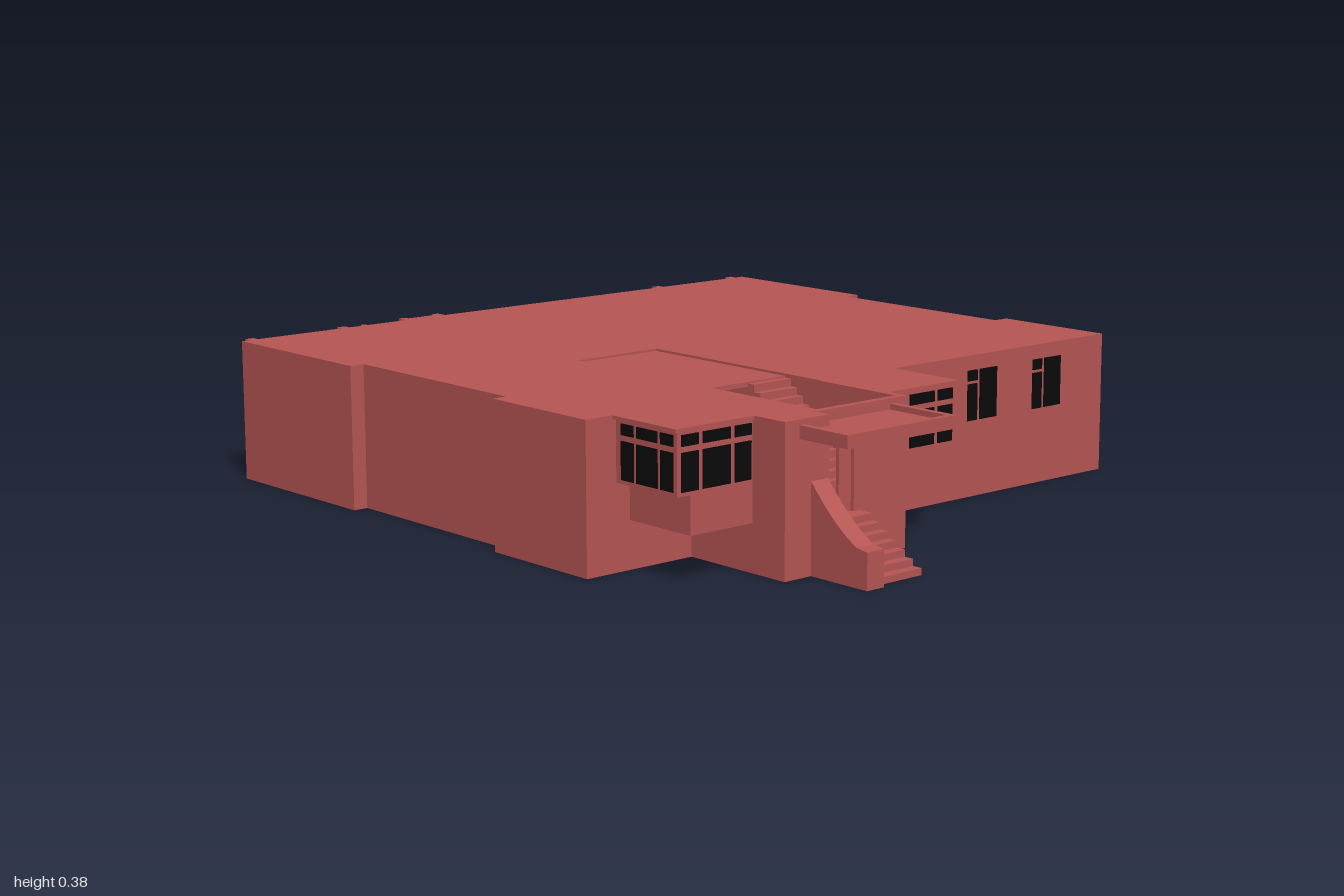
import * as THREE from 'three';

const brick = new THREE.MeshStandardMaterial({ color: 0xb55553, side: THREE.DoubleSide });
const glass = new THREE.MeshStandardMaterial({ color: 0x0a0a0a });
const H = 0.375, FLOOR = 0.12, T = 0.02;

export function createModel() {
  const root = new THREE.Group();

  const group = (name) => {
    const g = new THREE.Group();
    g.name = name;
    root.add(g);
    return g;
  };
  // Box given by its limits on each axis
  const box = (parent, name, x0, x1, y0, y1, z0, z1, mat = brick) => {
    const m = new THREE.Mesh(new THREE.BoxGeometry(x1 - x0, y1 - y0, z1 - z0), mat);
    m.position.set((x0 + x1) / 2, (y0 + y1) / 2, (z0 + z1) / 2);
    m.name = name;
    parent.add(m);
    return m;
  };
  // Horizontal slab from [x, z] outline with one rectangular hole
  const slab = (name, pts, y0, y1, [hx0, hx1, hz0, hz1]) => {
    const s = new THREE.Shape(pts.map(([x, z]) => new THREE.Vector2(x, -z)));
    s.holes.push(new THREE.Path([[hx0, hz0], [hx1, hz0], [hx1, hz1], [hx0, hz1]]
      .map(([x, z]) => new THREE.Vector2(x, -z))));
    const g = new THREE.ExtrudeGeometry(s, { depth: y1 - y0, bevelEnabled: false });
    g.rotateX(-Math.PI / 2).translate(0, y0, 0);
    const m = new THREE.Mesh(g, brick);
    m.name = name;
    root.add(m);
  };
  // Upright slice from [z, y] profile, spanning x0 to x1
  const slice = (parent, name, shape, x0, x1) => {
    const g = new THREE.ExtrudeGeometry(shape, { depth: x1 - x0, bevelEnabled: false, curveSegments: 10 });
    g.rotateY(-Math.PI / 2).translate(x1, 0, 0);
    const m = new THREE.Mesh(g, brick);
    m.name = name;
    parent.add(m);
  };

  // Footprint, with the entrance block projecting to the front
  const outline = [
    [-0.9, -0.965], [0.9, -0.965], [0.9, -0.455], [0.855, -0.455], [0.855, 0.14], [0.9, 0.14],
    [0.9, 0.49], [-0.14, 0.49], [-0.14, 0.77], [-0.44, 0.77], [-0.44, 0.815], [-0.58, 0.815],
    [-0.58, 0.49], [-0.9, 0.49], [-0.9, 0.14], [-0.86, 0.14], [-0.86, -0.455], [-0.9, -0.455],
  ];
  const walls = group('outerWalls');
  outline.forEach(([ax, az], i) => {
    if (i === 8) return; // doorway wall is built below
    const [bx, bz] = outline[(i + 1) % outline.length];
    const nx = -Math.sign(bz - az) * T, nz = Math.sign(bx - ax) * T;
    box(walls, 'wall', Math.min(ax, bx, ax + nx), Math.max(ax, bx, ax + nx), 0, H,
      Math.min(az, bz, az + nz), Math.max(az, bz, az + nz));
  });
  box(walls, 'doorwaySide', -0.305, -0.14, 0, H, 0.75, 0.77);
  box(walls, 'doorwaySill', -0.44, -0.305, 0, FLOOR, 0.75, 0.77);
  box(walls, 'doorwayLintel', -0.44, -0.305, 0.335, H, 0.75, 0.77);

  // Roof and raised floor, both open at the stairwell
  slab('roof', outline, H - 0.018, H, [-0.42, -0.155, -0.135, 0.75]);
  slab('floor', outline, FLOOR - 0.012, FLOOR, [-0.42, -0.155, -0.135, 0.36]);

  // Stairwell with flight up to the roof level
  const well = group('stairwell');
  box(well, 'leftWellWall', -0.155, -0.145, FLOOR - 0.012, H - 0.002, -0.135, 0.76);
  box(well, 'rightWellWall', -0.43, -0.42, FLOOR - 0.012, H - 0.002, -0.135, 0.76);
  box(well, 'backWellWall', -0.43, -0.145, FLOOR - 0.012, H - 0.002, -0.145, -0.135);
  box(well, 'recessedPanel', -0.42, -0.155, H - 0.018, H - 0.006, -0.135, 0.36);
  const n = 13, run = 0.29 / n, rise = (H - 0.01 - FLOOR) / n;
  const flight = new THREE.Shape();
  flight.moveTo(0.65, FLOOR);
  for (let i = 0; i < n; i++) {
    flight.lineTo(0.65 - i * run, FLOOR + (i + 1) * rise);
    flight.lineTo(0.65 - (i + 1) * run, FLOOR + (i + 1) * rise);
  }
  flight.lineTo(0.36, H - 0.04);
  flight.lineTo(0.62, FLOOR);
  slice(well, 'innerStairs', flight, -0.28, -0.156);

  // Entrance steps, curved side wall, door and canopy
  const entry = group('entrance');
  for (let i = 0; i < 7; i++)
    box(entry, 'step', -0.443, -0.3, i * FLOOR / 7, (i + 1) * FLOOR / 7, 0.77, 0.98 - i * 0.027);
  const side = new THREE.Shape();
  side.moveTo(0.8, 0);
  side.lineTo(1, 0);
  side.lineTo(1, 0.09);
  side.lineTo(0.965, 0.095);
  side.quadraticCurveTo(0.89, 0.135, 0.815, 0.225);
  side.lineTo(0.8, 0.225);
  slice(entry, 'stepSideWall', side, -0.497, -0.443);
  box(entry, 'doorPostRight', -0.44, -0.425, FLOOR, 0.335, 0.75, 0.775);
  box(entry, 'doorPostLeft', -0.32, -0.305, FLOOR, 0.335, 0.75, 0.775);
  box(entry, 'doorLeaf', -0.36, -0.32, FLOOR, 0.335, 0.755, 0.765);
  box(entry, 'canopySlab', -0.535, -0.18, 0.33, 0.348, 0.77, 0.97);
  box(entry, 'canopyFrontRim', -0.535, -0.18, 0.33, 0.362, 0.955, 0.972);
  box(entry, 'canopyRightRim', -0.535, -0.518, 0.33, 0.362, 0.77, 0.97);
  box(entry, 'canopyLeftRim', -0.197, -0.18, 0.33, 0.362, 0.77, 0.97);

  // Panes on a wall plane; rects are [u0, u1, y0, y1], u runs along the wall
  const E = 0.003;
  const panes = (name, axis, plane, rects) => {
    const g = group(name);
    for (const [u0, u1, y0, y1] of rects) {
      if (axis === 'z') box(g, 'pane', u0, u1, y0, y1, plane - E, plane + E, glass);
      else box(g, 'pane', plane - E, plane + E, y0, y1, u0, u1, glass);
    }
  };
  // Three lights wide with a row of small lights above
  const wide = (u0, u1) => {
    const w = u1 - u0, out = [];
    for (const [a, b] of [[0, 0.24], [0.3, 0.7], [0.76, 1]])
      for (const [y0, y1] of [[0.225, 0.317], [0.331, 0.358]]) out.push([u0 + a * w, u0 + b * w, y0, y1]);
    return out;
  };
  const columns = (u0, u1, count) => Array.from({ length: count }, (_, i) => {
    const w = (u1 - u0) / count;
    return [u0 + i * w + 0.004, u0 + (i + 1) * w - 0.004, 0.21, 0.345];
  });

  // Corner bays: glazed box, narrower base and thin cap
  const bay = (name, x0, x1, low0, low1, cap0, cap1, outer) => {
    const g = group(name);
    box(g, 'bayBody', x0, x1, 0.215, 0.368, 0.48, 0.705);
    box(g, 'bayBase', low0, low1, FLOOR, 0.215, 0.48, 0.705);
    box(g, 'bayCap', cap0, cap1, 0.366, H, 0.48, 0.712);
    panes(name + 'FrontWindow', 'z', 0.705, wide(x0 + 0.012, x1 - 0.005));
    panes(name + 'SideWindow', 'x', outer, wide(0.51, 0.693));
  };
  bay('rightBay', -0.81, -0.58, -0.77, -0.58, -0.82, -0.58, -0.81);
  bay('leftBay', -0.14, 0.09, -0.14, 0.055, -0.14, 0.1, 0.09);

  // Front windows
  for (const x of [0.37, 0.62])
    panes('frontWindow', 'z', 0.49, [
      [x, x + 0.036, 0.203, 0.3], [x, x + 0.036, 0.308, 0.336], [x + 0.046, x + 0.11, 0.203, 0.336],
    ]);

  // Back windows
  const back = -0.965;
  panes('backCornerWindow', 'z', back, [...wide(0.59, 0.845), ...wide(-0.845, -0.59)]);
  panes('backWindow', 'z', back, [
    ...columns(0.265, 0.465, 3), ...columns(-0.195, 0.01, 3), ...columns(-0.48, -0.38, 2),
  ]);

  // Back piers
  const piers = group('backPiers');
  for (const [x0, x1, z] of [
    [0.85, 0.873, -0.988], [0.555, 0.58, -0.988], [-0.255, -0.232, -1], [-0.367, -0.345, -1],
    [-0.345, -0.255, -0.985], [-0.51, -0.495, -0.98], [-0.582, -0.557, -0.988], [-0.875, -0.85, -0.988],
  ]) box(piers, 'pier', x0, x1, 0, H, z, back + 0.005);

  return root;
}
